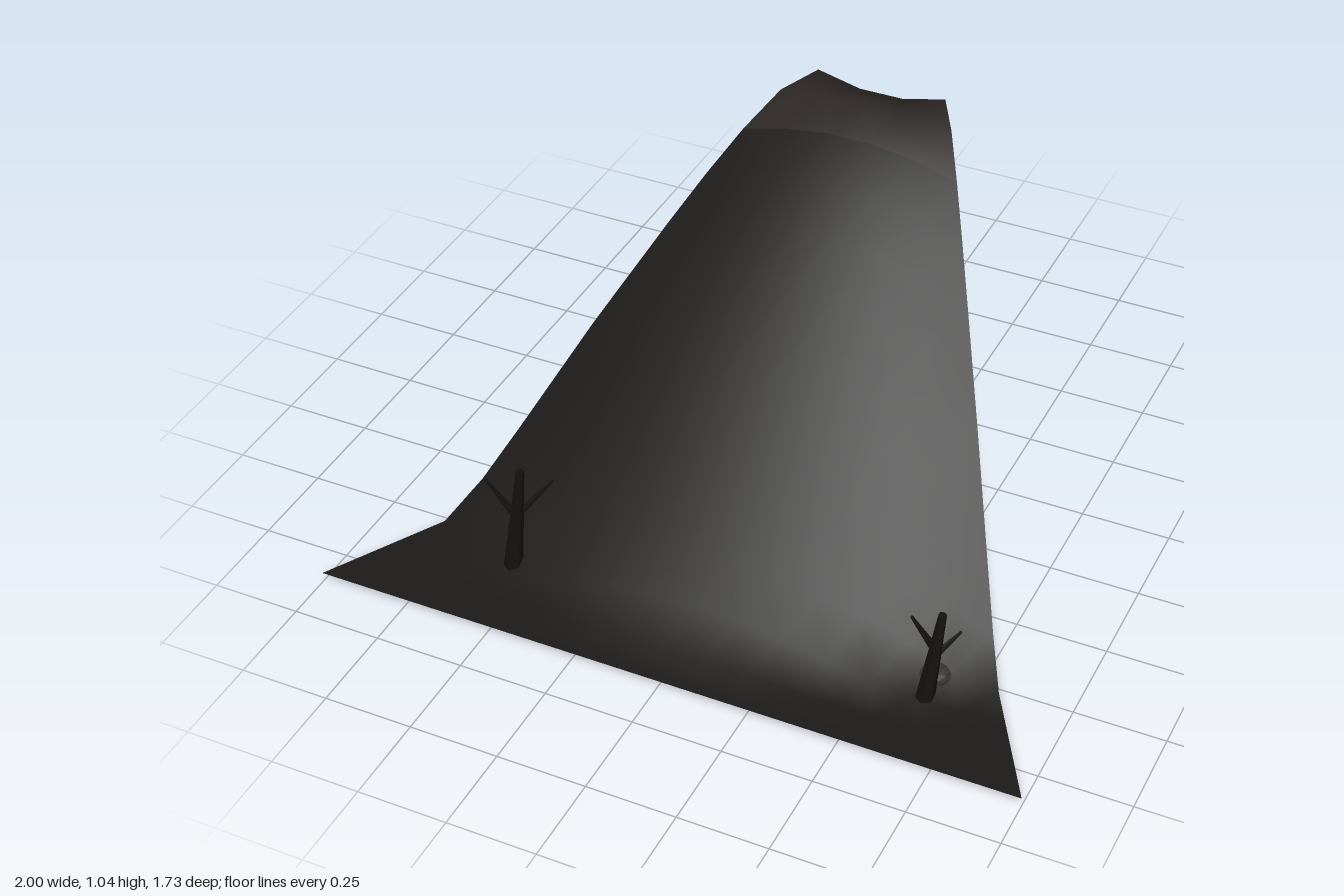
import * as THREE from 'three';

const ROWS = 16, STEP = 2 / ROWS, DEPTH = Math.sqrt(3);

// Volcano height by distance from the crater centre: [radius, height]
const PROFILE = [
  [0.125, 0.68], [0.217, 0.82], [0.25, 0.87], [0.33, 1.0], [0.375, 1.03], [0.433, 1.04],
  [0.5, 1.01], [0.625, 0.93], [0.75, 0.83], [0.875, 0.72], [1, 0.605], [1.125, 0.49],
  [1.25, 0.365], [1.375, 0.24], [1.5, 0.12], [1.61, 0.03],
];

function heightAt(r) {
  if (r <= PROFILE[0][0]) return PROFILE[0][1];
  for (let i = 1; i < PROFILE.length; i++) {
    const [r0, y0] = PROFILE[i - 1], [r1, y1] = PROFILE[i];
    if (r <= r1) return y0 + (y1 - y0) * (r - r0) / (r1 - r0);
  }
  return 0.03;
}

// Triangular grid with its apex at the crater; bands of rows share one set of smooth normals
function terrain() {
  const group = new THREE.Group();
  group.name = 'volcanoTerrain';
  const positions = [], bands = [];
  const id = (row, j) => row * (row + 1) / 2 + j;
  for (let row = 0; row <= ROWS; row++) {
    const strip = [];
    for (let j = 0; j <= row; j++) {
      const x = (j - row / 2) * STEP, dz = row * DEPTH / ROWS;
      positions.push(x, heightAt(Math.hypot(x, dz)), dz - DEPTH / 2);
      if (row < ROWS) {
        strip.push(id(row, j), id(row + 1, j), id(row + 1, j + 1));
        if (j < row) strip.push(id(row, j), id(row + 1, j + 1), id(row, j + 1));
      }
    }
    bands.push(strip);
  }
  const whole = new THREE.BufferGeometry();
  whole.setAttribute('position', new THREE.Float32BufferAttribute(positions, 3));
  whole.setIndex(bands.flat());
  whole.computeVertexNormals();

  const parts = [
    ['lavaCore', 0, 1, 0xd0621c],
    ['lavaGlow', 1, 2, 0xa04a18],
    ['scorchedCraterWall', 2, 3, 0x4a2414],
    ['craterRim', 3, 5, 0x2a2522],
    ['slope', 5, ROWS, 0x1c1a18],
  ];
  for (const [name, from, to, color] of parts) {
    const geometry = new THREE.BufferGeometry();
    geometry.setAttribute('position', whole.attributes.position);
    geometry.setAttribute('normal', whole.attributes.normal);
    geometry.setIndex(bands.slice(from, to).flat());
    const mesh = new THREE.Mesh(geometry,
      new THREE.MeshStandardMaterial({ color, side: THREE.DoubleSide }));
    mesh.name = name;
    group.add(mesh);
  }
  return group;
}

// Tapered limb between two points
function limb(name, from, to, r0, r1, material) {
  const a = new THREE.Vector3(...from), b = new THREE.Vector3(...to);
  const dir = b.clone().sub(a);
  const mesh = new THREE.Mesh(new THREE.CylinderGeometry(r1, r0, dir.length(), 6), material);
  mesh.position.copy(a).add(b).multiplyScalar(0.5);
  mesh.quaternion.setFromUnitVectors(new THREE.Vector3(0, 1, 0), dir.normalize());
  mesh.name = name;
  return mesh;
}

function deadTree(name, base, top, branches, material) {
  const tree = new THREE.Group();
  tree.name = name;
  tree.add(limb('trunk', base, top, 0.027, 0.011, material));
  for (const [from, to] of branches) tree.add(limb('branch', from, to, 0.012, 0.004, material));
  return tree;
}

export function createModel() {
  const model = new THREE.Group();
  model.name = 'volcanoTile';
  model.add(terrain());

  // Charred trees near the two front corners
  const bark = new THREE.MeshStandardMaterial({ color: 0x14110f, flatShading: true });
  model.add(deadTree('rightDeadTree', [-0.55, 0.02, 0.63], [-0.515, 0.36, 0.615], [
    [[-0.53, 0.21, 0.615], [-0.45, 0.31, 0.562]],
    [[-0.53, 0.2, 0.62], [-0.597, 0.335, 0.657]],
  ], bark));
  model.add(deadTree('leftDeadTree', [0.645, 0.005, 0.635], [0.68, 0.305, 0.615], [
    [[0.66, 0.16, 0.625], [0.713, 0.22, 0.565]],
    [[0.665, 0.19, 0.622], [0.61, 0.3, 0.648]],
  ], bark));

  // Boulder behind the left tree
  const boulder = new THREE.Mesh(new THREE.IcosahedronGeometry(0.042, 1),
    new THREE.MeshStandardMaterial({ color: 0x3a3532, flatShading: true }));
  boulder.scale.set(1, 0.65, 0.9);
  boulder.position.set(0.65, 0.06, 0.575);
  boulder.name = 'boulder';
  model.add(boulder);
  return model;
}
